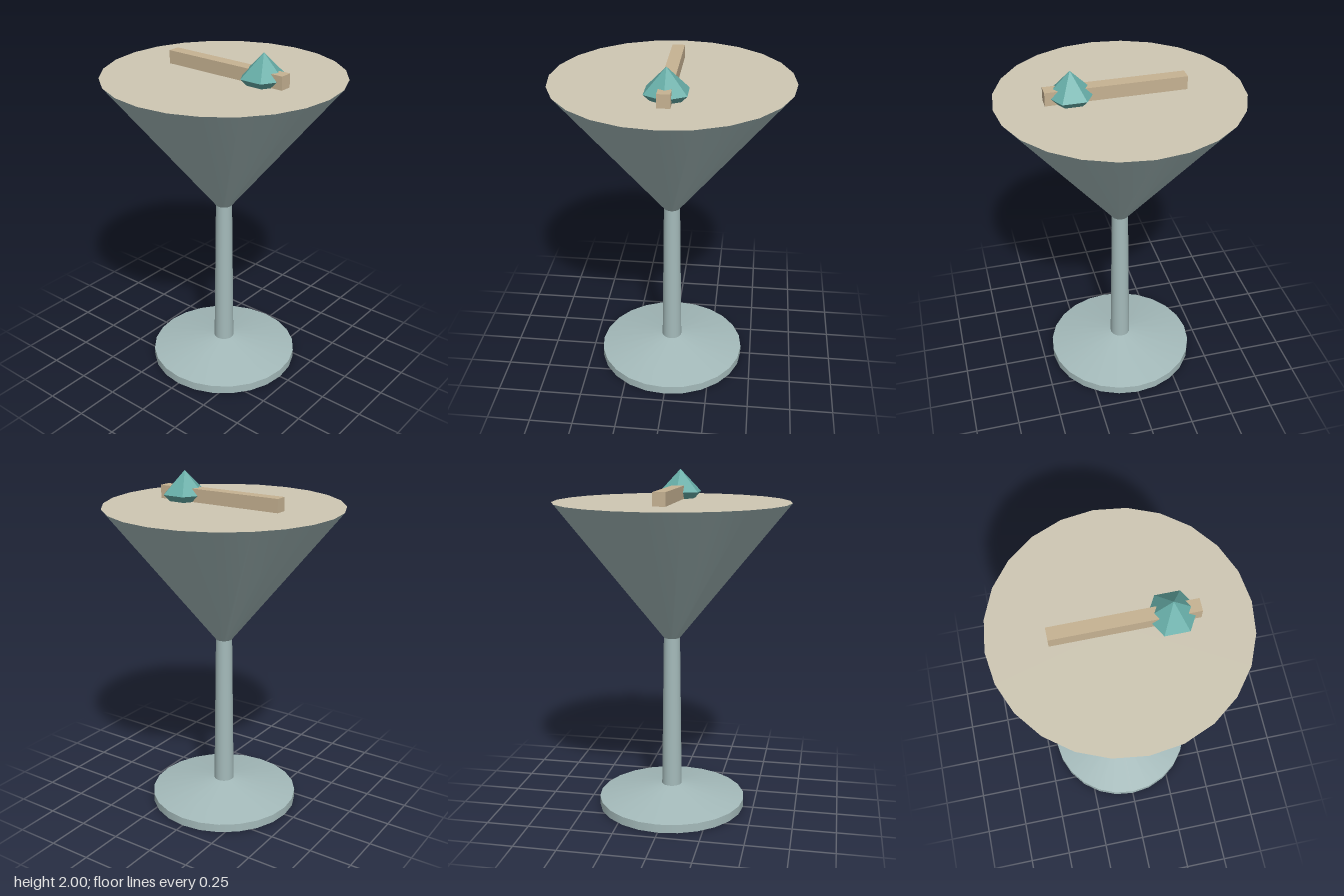
import * as THREE from 'three';

const SIDES = 24;

function material(name, color) {
  const m = new THREE.MeshStandardMaterial({ color });
  m.name = name;
  return m;
}

export function createModel() {
  const model = new THREE.Group();
  model.name = 'cocktailGlass';

  const glass = material('glass', 0xa4baba);
  const liquid = material('liquid', 0xcec7b3);
  const wood = material('wood', 0xc6b292);
  const teal = material('teal', 0x66aca6);

  function add(name, geometry, mat, x, y) {
    const mesh = new THREE.Mesh(geometry, mat);
    mesh.name = name;
    mesh.position.set(x, y, 0);
    model.add(mesh);
    return mesh;
  }

  // Round tapered section standing between two heights
  function section(name, bottomRadius, topRadius, y0, y1, open) {
    const g = new THREE.CylinderGeometry(topRadius, bottomRadius, y1 - y0, SIDES, 1, open);
    return add(name, g, glass, 0, (y0 + y1) / 2);
  }

  // Foot, stem and bowl
  section('footRim', 0.44, 0.44, 0, 0.05, false);
  section('footSlope', 0.44, 0.06, 0.05, 0.125, true);
  section('stem', 0.06, 0.048, 0.12, 1.04, true);
  section('bowl', 0.048, 0.68, 1.04, 1.83, true);

  // Drink surface, level with the rim
  add('drinkSurface', new THREE.CircleGeometry(0.68, SIDES).rotateX(-Math.PI / 2), liquid, 0, 1.83);

  // Stick lying across the drink
  add('stick', new THREE.BoxGeometry(0.777, 0.076, 0.071), wood, 0.023, 1.869);

  // Faceted garnish: a six-sided double pyramid pierced by the stick
  const garnish = new THREE.SphereGeometry(0.132, 6, 2).toNonIndexed();
  garnish.computeVertexNormals();
  add('garnish', garnish, teal, 0.267, 1.868);

  return model;
}
